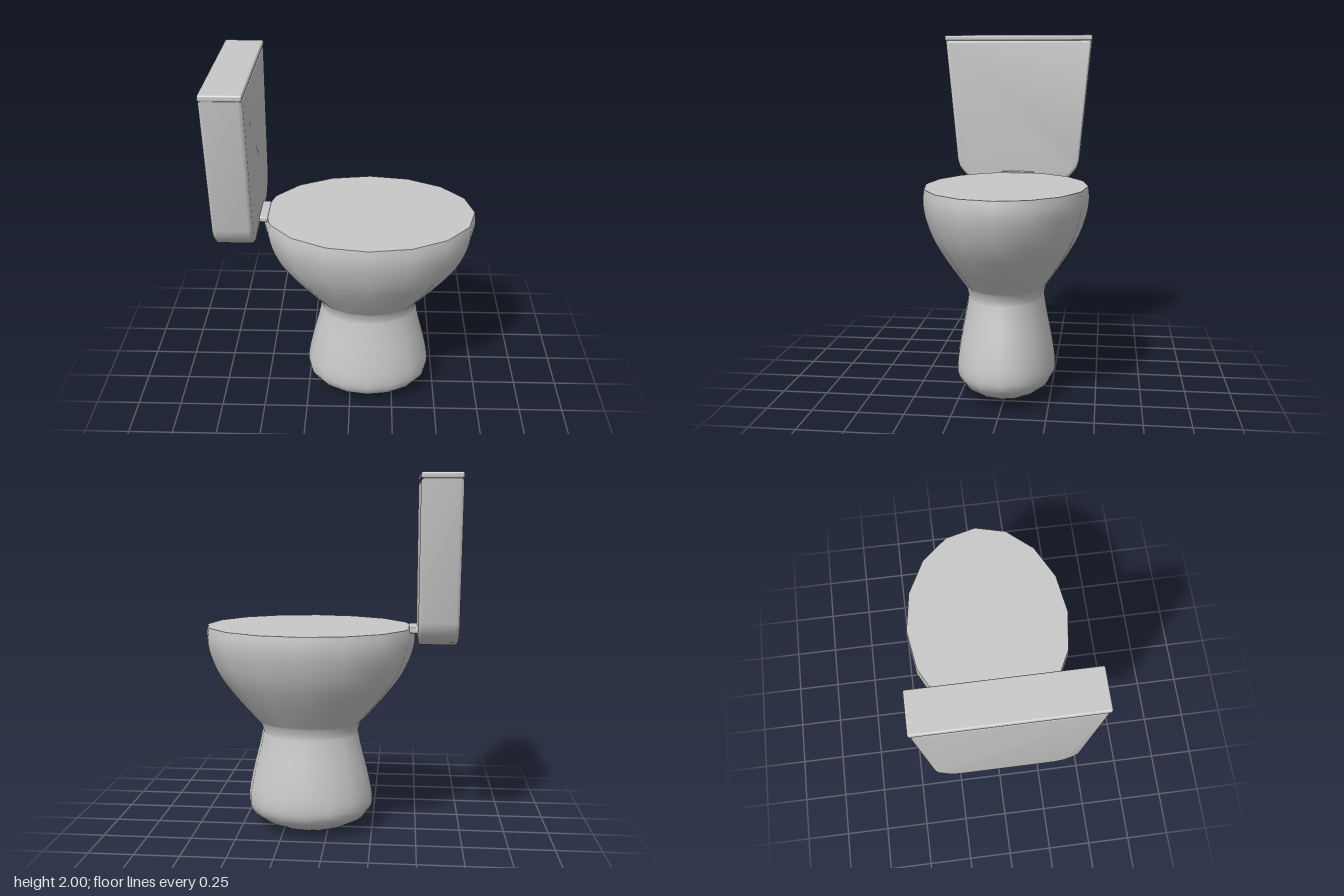
import * as THREE from 'three';
import { toCreasedNormals } from 'three/addons/utils/BufferGeometryUtils.js';
import { RoundedBoxGeometry } from 'three/addons/geometries/RoundedBoxGeometry.js';

const SIDES = 16;
const BOWL_X = 0.105; // centre of the bowl
const OVAL = 0.77; // width of the bowl relative to its length

export function createModel() {
  const group = new THREE.Group();
  group.name = 'toilet';
  const ceramic = new THREE.MeshStandardMaterial({ color: 0xc8c8c8 });
  ceramic.name = 'ceramic grey';

  const add = (name, geometry, x, y) => {
    const mesh = new THREE.Mesh(geometry, ceramic);
    mesh.name = name;
    mesh.position.set(x, y, 0);
    group.add(mesh);
    return mesh;
  };
  const curve = (pairs, n) =>
    new THREE.SplineCurve(pairs.map(([r, y]) => new THREE.Vector2(r, y))).getPoints(n);

  // Pedestal and bowl: one oval lathe with a tight waist
  const foot = curve([[0, 0.005], [0.15, 0.02], [0.26, 0.06], [0.33, 0.11], [0.357, 0.18],
    [0.335, 0.32], [0.29, 0.5], [0.272, 0.59]], 20);
  const bowl = curve([[0.285, 0.63], [0.34, 0.69], [0.435, 0.8], [0.515, 0.91], [0.565, 1.02],
    [0.584, 1.11], [0.576, 1.18]], 16);
  add('pedestalAndBowl', new THREE.LatheGeometry([...foot, ...bowl], SIDES), BOWL_X, 0).scale.z = OVAL;

  // Flat closed cover across the rim
  const cover = new THREE.CircleGeometry(0.576, SIDES).rotateX(-Math.PI / 2);
  add('bowlCover', cover, BOWL_X, 1.18).scale.z = OVAL;

  // Tank: tapered outline with rounded lower corners, bevelled edges
  const half = [[0.25, 1.12], [0.3, 1.14], [0.335, 1.177], [0.36, 1.21], [0.372, 1.25], [0.439, 1.97]];
  const outline = [...half, ...half.map(([z, y]) => [-z, y]).reverse()];
  const bevel = 0.02;
  const tank = new THREE.ExtrudeGeometry(
    new THREE.Shape(outline.map(([z, y]) => new THREE.Vector2(z, y))),
    { depth: 0.21 - 2 * bevel, bevelThickness: bevel, bevelSize: bevel, bevelOffset: -bevel, bevelSegments: 4 }
  );
  tank.translate(0, 0, -0.105 + bevel).rotateY(Math.PI / 2);
  add('tank', toCreasedNormals(tank, 0.7), -0.595, 0);

  // Tank lid
  add('tankLid', new RoundedBoxGeometry(0.21, 0.032, 0.885, 3, 0.01), -0.595, 1.984);

  // Hinge block joining the bowl to the tank
  add('hinge', new RoundedBoxGeometry(0.08, 0.03, 0.2, 3, 0.008), -0.485, 1.17);

  return group;
}
